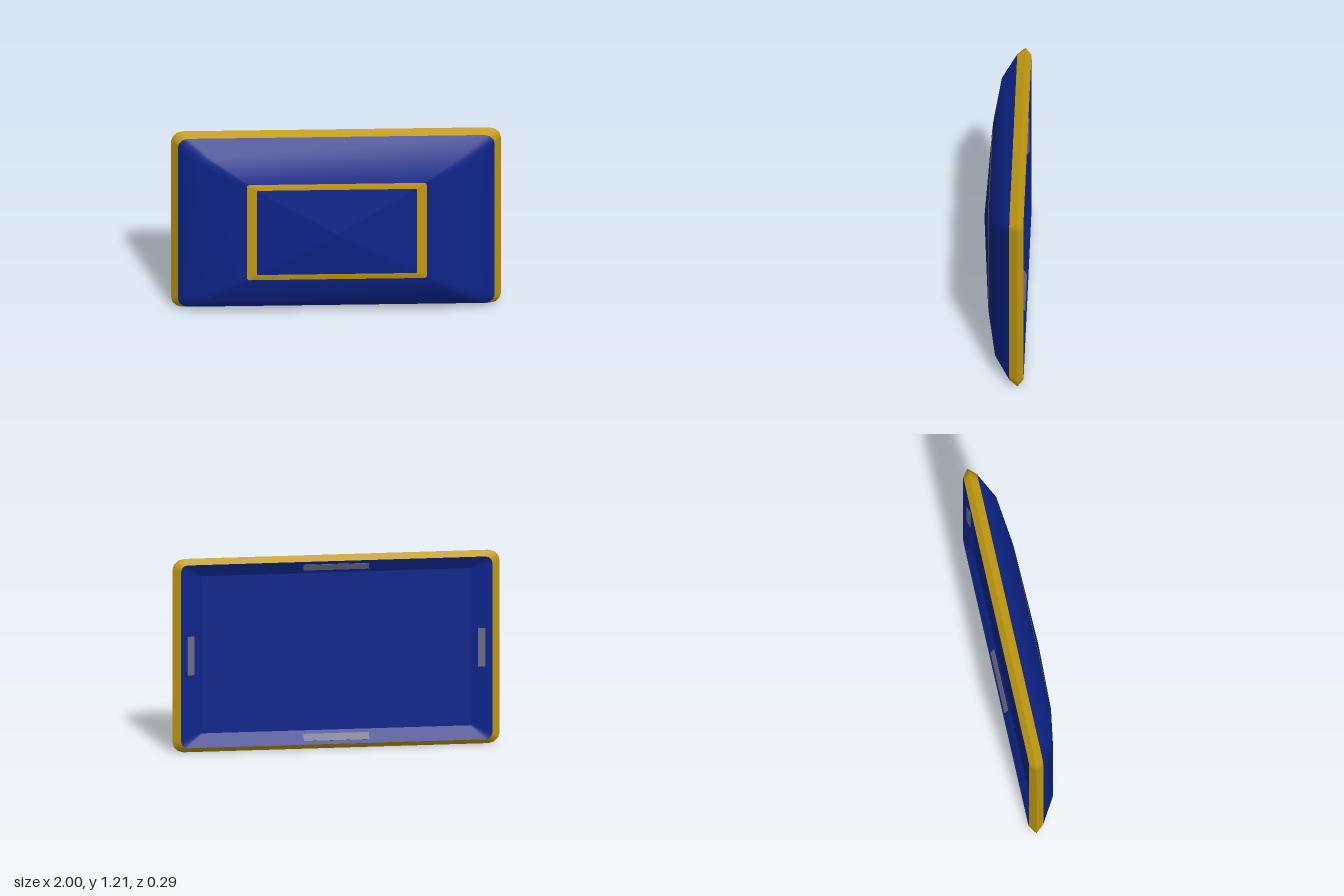
import * as THREE from 'three';

const SEG = 3; // steps per rounded corner
const CY = 0.603; // height of the centre

// Rounded rectangle, counter-clockwise seen from the front: half width, half height, corner radius, depth
function ring([w, h, r, z]) {
  const pts = [];
  const corners = [[1, 1], [-1, 1], [-1, -1], [1, -1]];
  corners.forEach(([sx, sy], c) => {
    for (let i = 0; i <= SEG; i++) {
      const a = (c + i / SEG) * Math.PI / 2;
      pts.push(sx * (w - r) + r * Math.cos(a), sy * (h - r) + r * Math.sin(a), z);
    }
  });
  return pts;
}

// Skin over successive rings; each band becomes a group with its own material
function loft(name, specs, materials) {
  const n = 4 * (SEG + 1);
  const geo = new THREE.BufferGeometry();
  const index = [];
  geo.setAttribute('position', new THREE.Float32BufferAttribute(specs.flatMap(ring), 3));
  for (let b = 0; b < specs.length - 1; b++) {
    geo.addGroup(b * n * 6, n * 6, b);
    for (let i = 0; i < n; i++) {
      const j = (i + 1) % n, p = b * n, q = p + n;
      index.push(p + i, p + j, q + j, p + i, q + j, q + i);
    }
  }
  geo.setIndex(index);
  geo.computeVertexNormals();
  const mesh = new THREE.Mesh(geo, materials);
  mesh.name = name;
  return mesh;
}

export function createModel() {
  const blue = new THREE.MeshStandardMaterial({ color: 0x0d2489 });
  const gold = new THREE.MeshStandardMaterial({ color: 0xc09910 });
  const grey = new THREE.MeshStandardMaterial({ color: 0x6c6c88 });
  blue.name = 'deep blue';
  gold.name = 'gold';
  grey.name = 'grey';

  const model = new THREE.Group();
  model.name = 'panel';
  const body = new THREE.Group();
  body.name = 'body';
  body.position.y = CY;
  body.rotation.y = 0.034; // slight turn to one side
  model.add(body);

  const outer = [1, 0.603, 0.07, -0.082];
  const front = [0.96, 0.577, 0.06, -0.032];
  const back = [0.95, 0.57, 0.04, -0.118];
  const floor = [0.825, 0.49, 0.01, -0.075];

  // Bevelled rim
  body.add(loft('rimFront', [outer, front], [gold]));
  body.add(loft('rimBack', [back, outer], [gold]));

  // Domed front with its inlaid frame and raised middle
  body.add(loft('dome', [
    front,
    [0.82, 0.49, 0.05, 0.058],
    [0.545, 0.327, 0.015, 0.105],
    [0.485, 0.289, 0.006, 0.11],
    [0, 0, 0, 0.143],
  ], [blue, blue, gold, blue]));

  // Hollow back: flat floor and sloping sides
  body.add(loft('backFloor', [[0, 0, 0, floor[3]], floor], [blue]));
  body.add(loft('backSlope', [floor, back], [blue]));

  // Thin strips lying on the middle of each sloping side
  const midZ = (floor[3] + back[3]) / 2;
  for (let k = 0; k < 4; k++) {
    const side = k % 2 === 0; // left and right strips are shorter
    const axis = side ? 0 : 1;
    const pivot = new THREE.Group();
    pivot.name = side ? 'sideStrip' : 'edgeStrip';
    pivot.rotation.z = k * Math.PI / 2;
    const strip = new THREE.Mesh(new THREE.BoxGeometry(0.045, side ? 0.24 : 0.4, 0.006), grey);
    strip.name = 'strip';
    strip.position.set((floor[axis] + back[axis]) / 2, 0, midZ);
    strip.rotation.y = Math.atan2(floor[3] - back[3], back[axis] - floor[axis]);
    pivot.add(strip);
    body.add(pivot);
  }
  return model;
}
